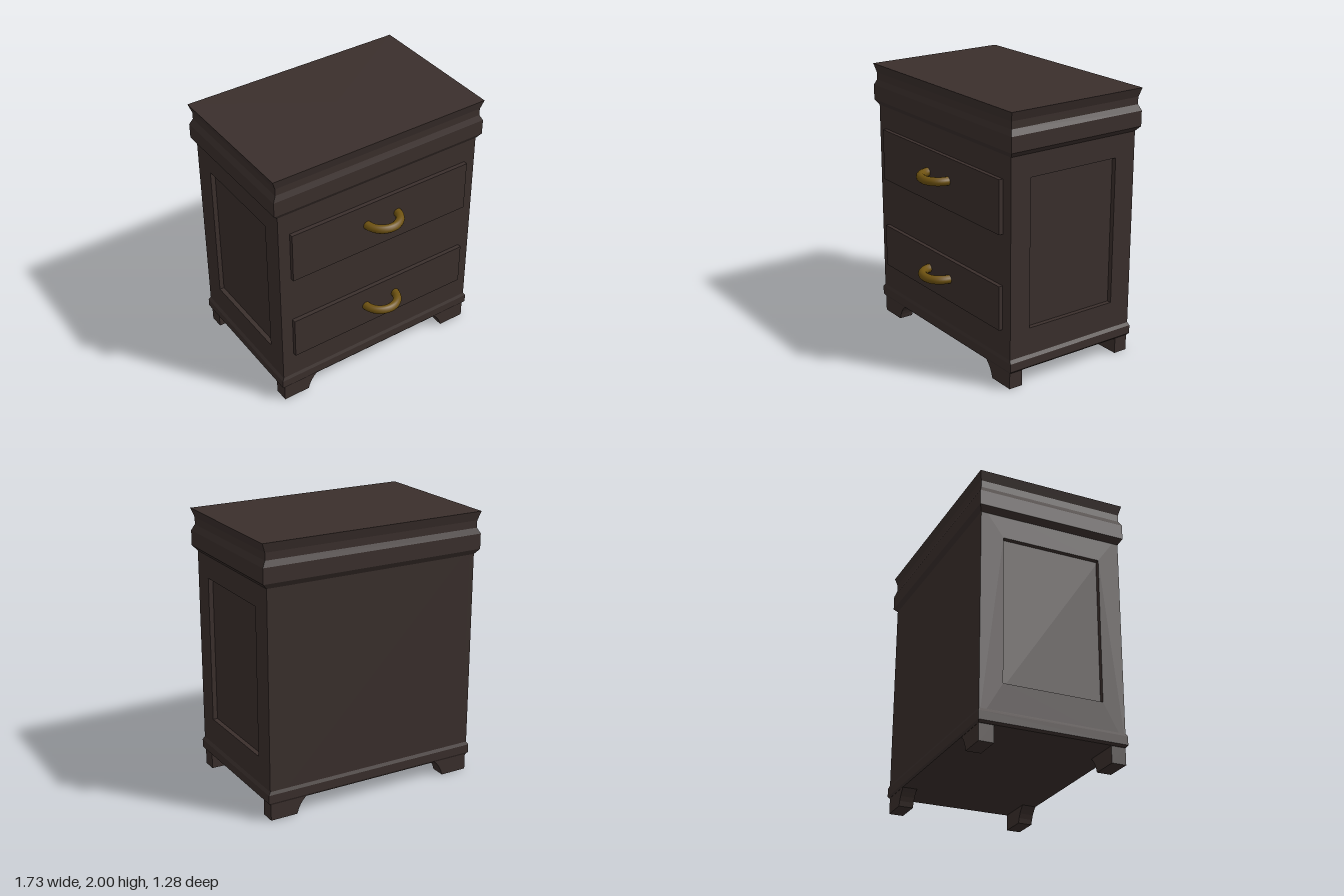
import * as THREE from 'three';

const wood = new THREE.MeshStandardMaterial({ color: 0x3a2f2c, roughness: 0.8 });
const brass = new THREE.MeshStandardMaterial({ color: 0x6e5210 });

// Cabinet half width, half depth and depth centre
const HX = 0.83, HZ = 0.537, CZ = -0.078;

function add(parent, name, geometry, material, x = 0, y = 0, z = 0) {
  const mesh = new THREE.Mesh(geometry, material);
  mesh.name = name;
  mesh.position.set(x, y, z);
  parent.add(mesh);
  return mesh;
}

// Rectangular moulding: profile of [half width, y] swept round the cabinet
function moulding(profile) {
  const pts = profile.map(([w, y]) => new THREE.Vector2((w / HX) * Math.SQRT2, y));
  pts.unshift(new THREE.Vector2(0, profile[0][1]));
  pts.push(new THREE.Vector2(0, profile[profile.length - 1][1]));
  const g = new THREE.LatheGeometry(pts, 4).rotateY(Math.PI / 4).scale(HX, 1, HZ).toNonIndexed();
  g.computeVertexNormals();
  return g;
}

// Side frame with a rectangular opening, drawn in (z, y)
function sideFrame(depth) {
  const rect = (path, z0, z1, y0, y1) =>
    path.moveTo(z0, y0).lineTo(z1, y0).lineTo(z1, y1).lineTo(z0, y1).closePath();
  const shape = rect(new THREE.Shape(), -HZ - CZ, HZ - CZ, 0.13, 1.75);
  shape.holes.push(rect(new THREE.Path(), -0.295, 0.445, 0.425, 1.52));
  return new THREE.ExtrudeGeometry(shape, { depth, bevelEnabled: false }).rotateY(Math.PI / 2);
}

// Bracket foot with a curved inner edge, for the +x side
function footGeometry(depth) {
  const s = new THREE.Shape();
  s.moveTo(0.825, 0);
  s.lineTo(0.825, 0.13);
  s.lineTo(0.545, 0.13);
  s.lineTo(0.545, 0.122);
  s.quadraticCurveTo(0.6, 0.075, 0.618, 0);
  s.closePath();
  return new THREE.ExtrudeGeometry(s, { depth, bevelEnabled: false, curveSegments: 4 });
}

export function createModel() {
  const model = new THREE.Group();
  model.name = 'nightstand';

  // Carcass core with recessed side panels
  const recess = 0.035;
  add(model, 'carcass', new THREE.BoxGeometry(2 * (HX - recess), 1.62, 2 * HZ), wood, 0, 0.94, CZ);
  for (const side of [1, -1]) {
    const frame = add(model, side > 0 ? 'leftSideFrame' : 'rightSideFrame', sideFrame(recess), wood);
    // Frame shape is authored back to front; the half turn puts it on either side
    frame.geometry.scale(1, 1, 1);
    frame.position.x = side > 0 ? HX - recess : -HX;
  }

  // Mouldings at base and top
  add(model, 'baseMoulding', moulding([
    [0.83, 0.122], [0.845, 0.138], [0.845, 0.2], [0.83, 0.223],
  ]), wood, 0, 0, CZ);
  add(model, 'topMoulding', moulding([
    [0.83, 1.687], [0.866, 1.725], [0.866, 1.837], [0.842, 1.88], [0.842, 1.933], [0.866, 2],
  ]), wood, 0, 0, CZ);

  // Four feet, turned half round for the -x side
  const footDepth = 0.108;
  for (const z of [0.35, -0.613]) {
    const end = z > 0 ? 'front' : 'back';
    add(model, end + 'LeftFoot', footGeometry(footDepth), wood, 0, 0, z);
    const right = add(model, end + 'RightFoot', footGeometry(footDepth), wood, 0, 0, z + footDepth);
    right.rotation.y = Math.PI;
  }

  // Drawers with half-ring pulls
  const drawers = [['upper', 1.127, 1.517, 1.345], ['lower', 0.425, 0.752, 0.6]];
  for (const [label, y0, y1, pullY] of drawers) {
    const drawer = new THREE.Group();
    drawer.name = label + 'Drawer';
    add(drawer, 'drawerFront', new THREE.BoxGeometry(1.48, y1 - y0, 0.05), wood, 0, (y0 + y1) / 2, 0.465);
    const ring = new THREE.TorusGeometry(0.13, 0.032, 12, 24, Math.PI).rotateX(Math.PI / 2);
    add(drawer, 'drawerPull', ring, brass, 0, pullY, 0.48);
    model.add(drawer);
  }

  return model;
}
